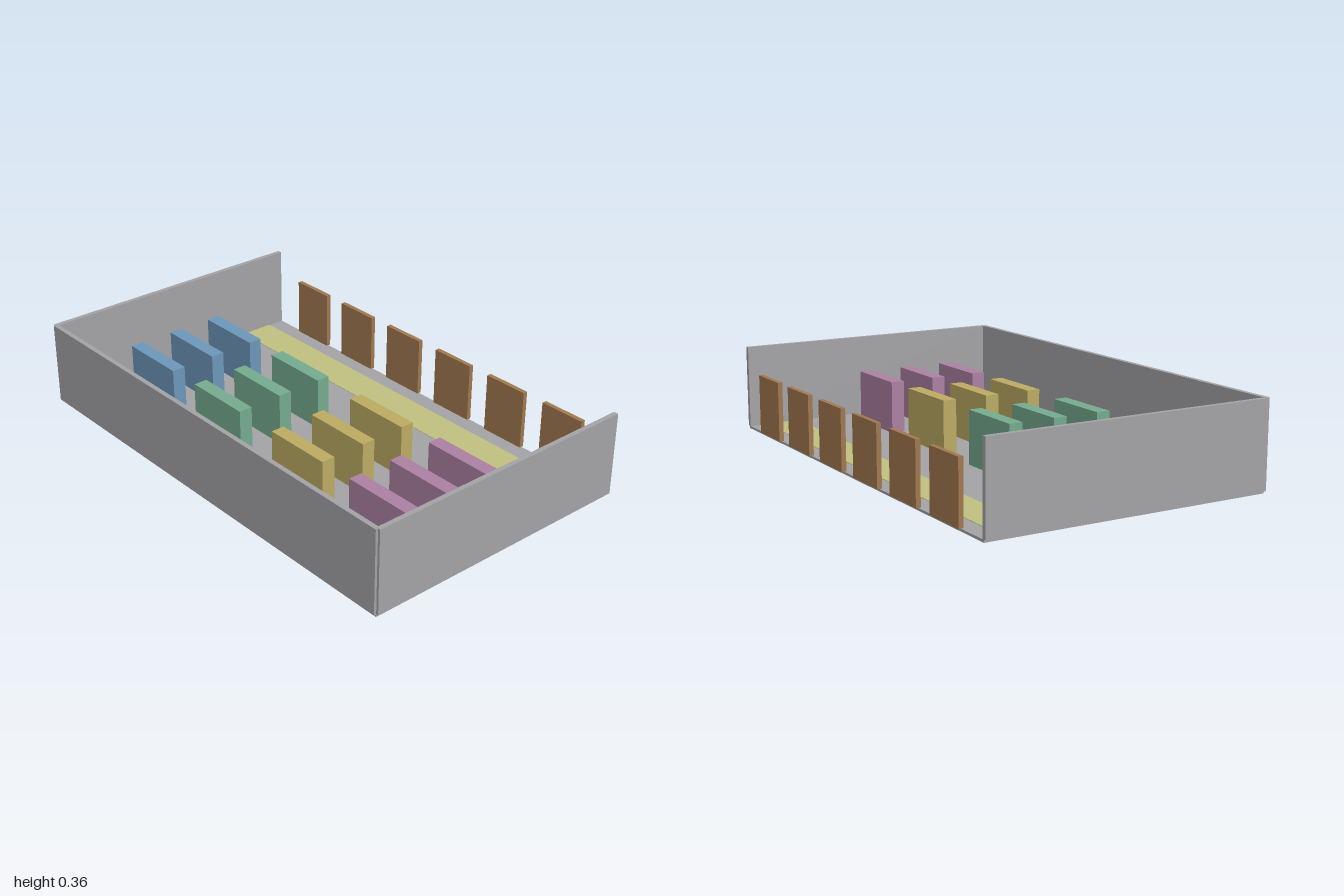
import * as THREE from 'three';

const material = (name, color) => {
  const m = new THREE.MeshStandardMaterial({ color });
  m.name = name;
  return m;
};

export function createModel() {
  const model = new THREE.Group();
  model.name = 'store';

  const stone = material('stone grey', 0xa3a2a5);
  const wood = material('door brown', 0xa0784f);
  const stripe = material('stripe yellow', 0xc0c080);
  const shelfColors = [
    material('shelf blue', 0x6c96b9),
    material('shelf green', 0x75aa8f),
    material('shelf ochre', 0xbcaa62),
    material('shelf mauve', 0xac80a2),
  ];

  // Box placed by its centre in plan and by its underside
  const box = (name, mat, w, h, d, x, y, z) => {
    const mesh = new THREE.Mesh(new THREE.BoxGeometry(w, h, d), mat);
    mesh.name = name;
    mesh.position.set(x, y + h / 2, z);
    model.add(mesh);
  };

  const floorY = 0.0099;
  const wallH = 0.3465;

  // Floor slab and the walkway stripe along the open side
  box('floor', stone, 1.98, floorY, 1.188, 0, 0, 0);
  box('walkwayStripe', stripe, 1.97, 0.002, 0.149, 0, floorY, -0.4455);

  // Walls on three sides
  box('frontWall', stone, 1.98, wallH, 0.0198, 0, floorY, 0.594);
  for (const [name, s] of [['leftWall', 1], ['rightWall', -1]]) {
    box(name, stone, 0.0198, wallH, 1.188, s * 0.99, floorY, 0);
  }

  // Row of six doors along the back edge
  for (let i = 0; i < 6; i++) {
    box(`door${i + 1}`, wood, 0.198, 0.2475, 0.0198, (i - 2.5) * 0.297, floorY, -0.594);
  }

  // Four coloured aisles of three shelves each
  [-0.693, -0.2475, 0.2475, 0.693].forEach((x, column) => {
    for (let row = 0; row < 3; row++) {
      box(`shelf${column + 1}${'abc'[row]}`, shelfColors[column],
        0.297, 0.219, 0.058, x, floorY, -0.099 + row * 0.198);
    }
  });

  return model;
}
